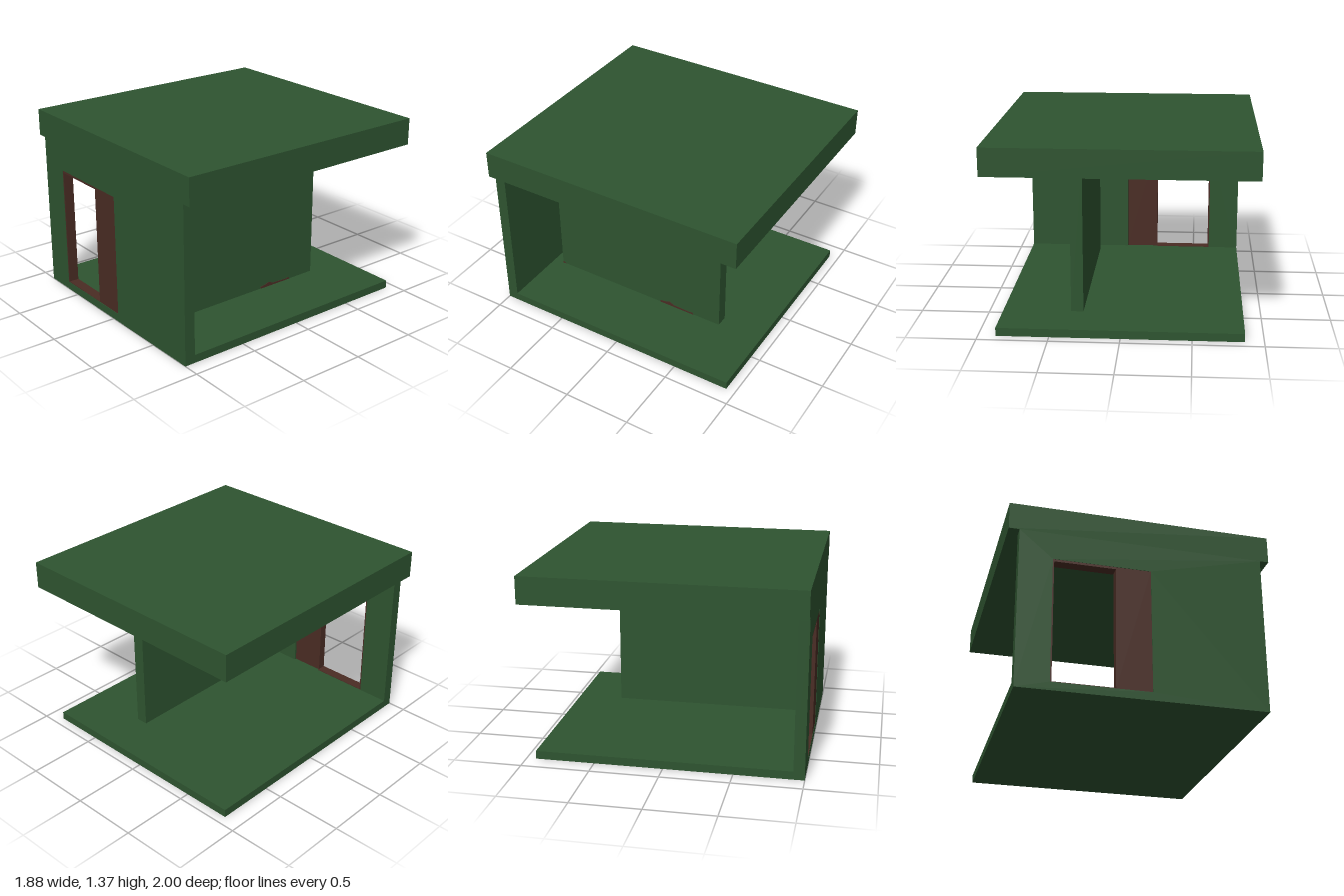
import * as THREE from 'three';

export function createModel() {
  const model = new THREE.Group();
  const green = new THREE.MeshStandardMaterial({ color: 0x2e5430 });
  green.name = 'dark green';
  const brown = new THREE.MeshStandardMaterial({ color: 0x4a2c24 });
  brown.name = 'dark brown';

  // box given by its lower and upper limits on each axis
  const box = (name, mat, [x0, x1], [y0, y1], [z0, z1]) => {
    const mesh = new THREE.Mesh(new THREE.BoxGeometry(x1 - x0, y1 - y0, z1 - z0), mat);
    mesh.position.set((x0 + x1) / 2, (y0 + y1) / 2, (z0 + z1) / 2);
    mesh.name = name;
    model.add(mesh);
  };

  // slabs and the inner wall
  box('roof', green, [-0.94, 0.94], [1.17, 1.37], [-1, 1]);
  box('floor', green, [-0.865, 0.875], [0, 0.06], [-0.93, 0.92]);
  box('innerWall', green, [0.29, 0.38], [0.06, 1.17], [-0.59, 0.84]);

  // front wall with its doorway
  const wall = new THREE.Shape([
    [-0.865, 0], [0.875, 0], [0.875, 1.17], [-0.865, 1.17],
  ].map(([x, y]) => new THREE.Vector2(x, y)));
  wall.holes.push(new THREE.Path([
    [-0.63, 0.06], [-0.63, 0.97], [0.06, 0.97], [0.06, 0.06],
  ].map(([x, y]) => new THREE.Vector2(x, y))));
  const front = new THREE.Mesh(
    new THREE.ExtrudeGeometry(wall, { depth: 0.08, bevelEnabled: false }), green);
  front.position.z = 0.92;
  front.name = 'frontWall';
  model.add(front);

  // door frame lining and the half-open door panel
  const depth = [0.922, 0.998];
  box('frameSide', brown, [-0.63, -0.62], [0.06, 0.97], depth);
  box('frameTop', brown, [-0.62, -0.19], [0.953, 0.97], depth);
  box('threshold', brown, [-0.62, -0.19], [0.06, 0.064], depth);
  box('doorPanel', brown, [-0.19, 0.06], [0.06, 0.97], [0.935, 0.997]);

  // low brown marks at the foot of the inner wall; points are (-z, y)
  const marks = [
    [[0.08, 0.06], [0.37, 0.06], [0.36, 0.075], [0.33, 0.07], [0.2, 0.075], [0.16, 0.093], [0.12, 0.08], [0.08, 0.075]],
    [[-0.84, 0.06], [-0.81, 0.06], [-0.825, 0.072], [-0.84, 0.075]],
  ];
  for (const points of marks) {
    const shape = new THREE.Shape(points.map(([x, y]) => new THREE.Vector2(x, y)));
    const mark = new THREE.Mesh(
      new THREE.ExtrudeGeometry(shape, { depth: 0.004, bevelEnabled: false }), brown);
    mark.rotation.y = Math.PI / 2;
    mark.position.x = 0.379;
    mark.name = 'wallFootMark';
    model.add(mark);
  }
  return model;
}
